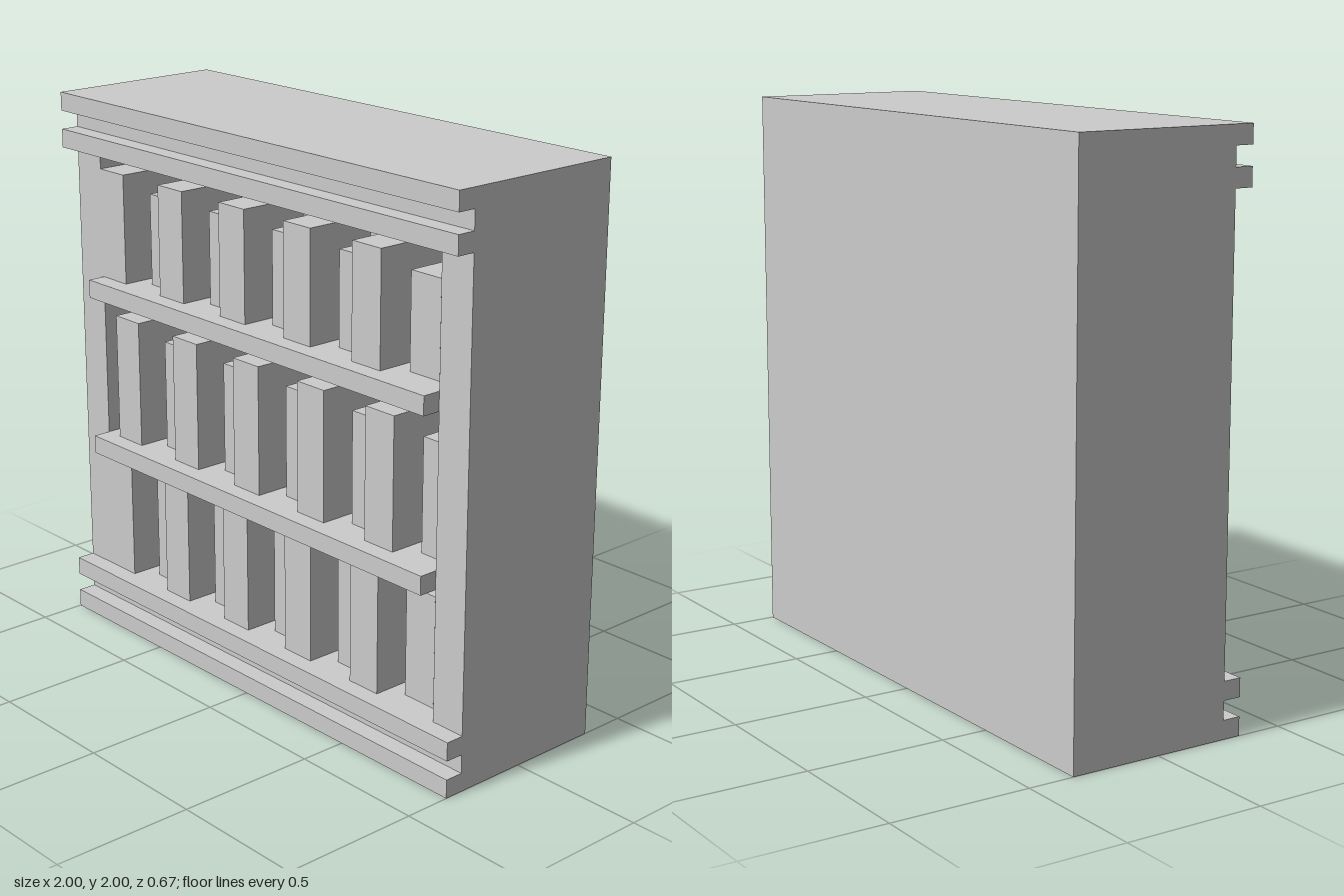
import * as THREE from 'three';

// The bookcase sits on a 30 x 30 x 10 module grid; U is one module.
const U = 1 / 15;
const WALL = 0; // back wall of the recess
const FACE = 4; // front of the frame
const LIP = 5; // front of trims and shelves

const material = new THREE.MeshStandardMaterial({ color: 0xcccccc, flatShading: true });

// Box given by its limits in modules
function block(parent, name, x0, x1, y0, y1, z0, z1) {
  const geometry = new THREE.BoxGeometry((x1 - x0) * U, (y1 - y0) * U, (z1 - z0) * U);
  const mesh = new THREE.Mesh(geometry, material);
  mesh.position.set((x0 + x1) / 2 * U, (y0 + y1) / 2 * U, (z0 + z1) / 2 * U);
  mesh.name = name;
  parent.add(mesh);
}

function rectangle(Type, x, y0, y1) {
  return new Type([[-x, y0], [x, y0], [x, y1], [-x, y1]]
    .map(([px, py]) => new THREE.Vector2(px * U, py * U)));
}

// Row of books two modules wide: tall and short alternate, with a gap after each tall one
function bookRow(parent, name, start, floor, tall) {
  const row = new THREE.Group();
  row.name = name;
  let x = start;
  for (let i = 0; i < 10; i++) {
    const isTall = i % 2 === 0;
    block(row, isTall ? 'tallBook' : 'shortBook', x, x + 2,
      floor, floor + (isTall ? tall : tall - 1), WALL, isTall ? FACE : FACE - 1);
    x += isTall ? 3 : 2;
  }
  parent.add(row);
}

export function createModel() {
  const model = new THREE.Group();
  model.name = 'bookcase';

  // Solid back and open frame
  block(model, 'back', -15, 15, 0, 30, -5, WALL);
  const outline = rectangle(THREE.Shape, 15, 0, 30);
  outline.holes.push(rectangle(THREE.Path, 13, 3, 27));
  const frame = new THREE.Mesh(
    new THREE.ExtrudeGeometry(outline, { depth: (FACE - WALL) * U, bevelEnabled: false }), material);
  frame.position.z = WALL * U;
  frame.name = 'frame';
  model.add(frame);

  // Paired trim strips along the base and the top
  for (const y of [0, 2, 27, 29]) block(model, 'trim', -15, 15, y, y + 1, FACE, LIP);

  // Shelves
  for (const y of [10, 19]) block(model, 'shelf', -13, 13, y, y + 1, WALL, LIP);

  // Books
  bookRow(model, 'lowerBooks', -13, 3, 7);
  bookRow(model, 'middleBooks', -12, 11, 7);
  bookRow(model, 'upperBooks', -13, 20, 6);

  return model;
}
